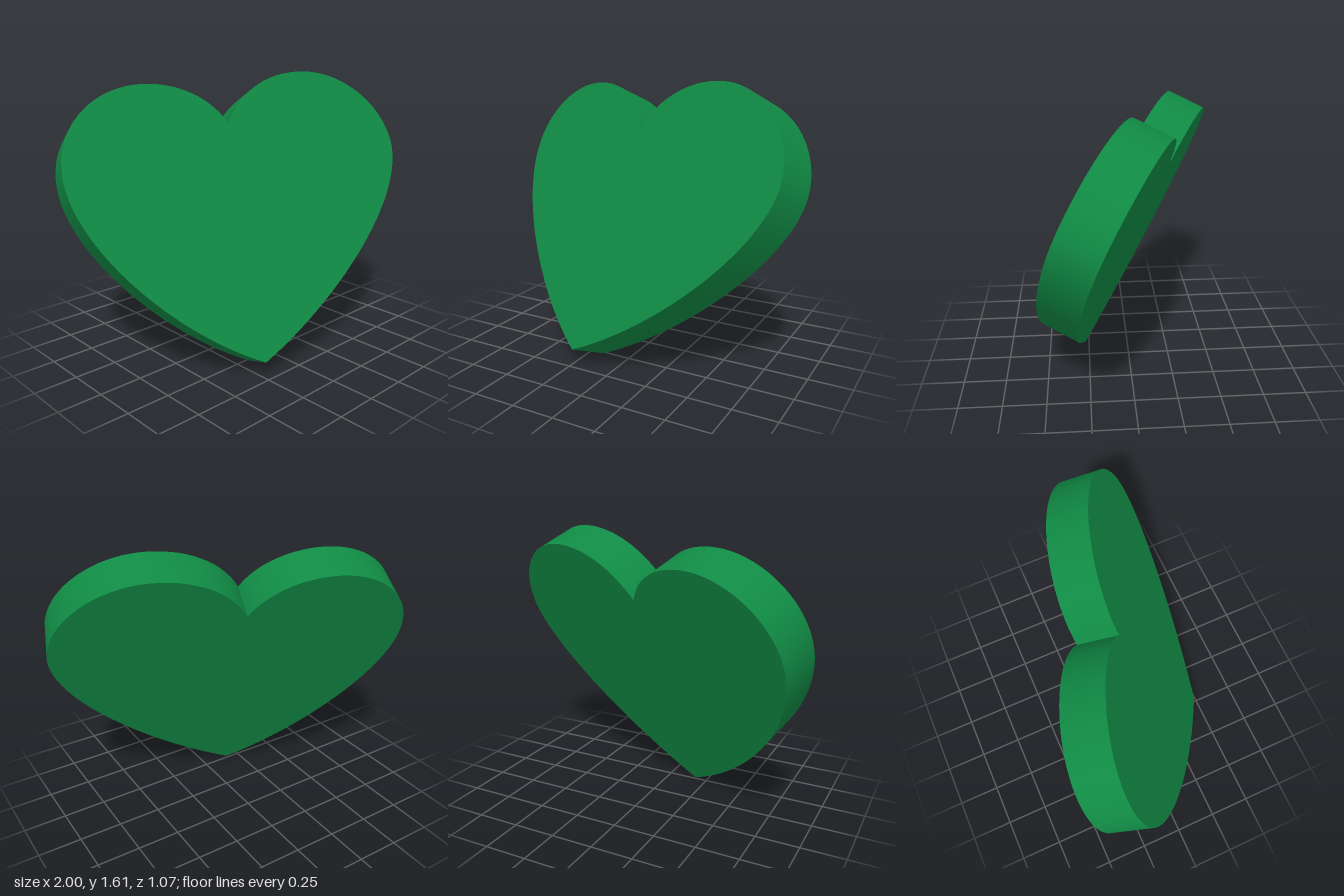
import * as THREE from 'three';
import { toCreasedNormals } from 'three/addons/utils/BufferGeometryUtils.js';

export function createModel() {
  const model = new THREE.Group();
  const depth = 0.242;

  // Slightly lopsided heart outline, starting at the tip, counter-clockwise
  const outline = new THREE.Shape();
  outline.moveTo(0, 0);
  const curves = [
    [0.539, 0.282, 1.124, 0.847, 1.074, 1.2],     // large side
    [1.039, 1.444, 0.793, 1.647, 0.52, 1.647],    // large lobe
    [0.283, 1.647, 0.097, 1.531, 0, 1.352],       // down to the notch
    [-0.079, 1.499, -0.253, 1.598, -0.458, 1.598],
    [-0.752, 1.598, -0.996, 1.368, -0.952, 1.059], // small lobe
    [-0.901, 0.695, -0.461, 0.217, 0, 0],         // small side
  ];
  for (const c of curves) outline.bezierCurveTo(...c);

  // Thick slab with its front face on z = 0, smooth rim, sharp edges
  const slab = new THREE.ExtrudeGeometry(outline, { depth, bevelEnabled: false, curveSegments: 32 });
  slab.translate(0, 0, -depth);
  const heart = new THREE.Mesh(
    toCreasedNormals(slab, 0.5),
    new THREE.MeshStandardMaterial({ color: 0x108a44 })
  );
  heart.name = 'heart';

  // Lean back and turn, with the front tip as the pivot
  const up = new THREE.Vector3(0.133, 0.921, -0.366).normalize();
  const facing = new THREE.Vector3(-0.31, 0.389, 0.867);
  const side = new THREE.Vector3().crossVectors(up, facing).normalize();
  facing.crossVectors(side, up);
  heart.quaternion.setFromRotationMatrix(new THREE.Matrix4().makeBasis(side, up, facing));
  heart.position.set(-0.245, 0.095, 0.475);

  model.add(heart);
  return model;
}
